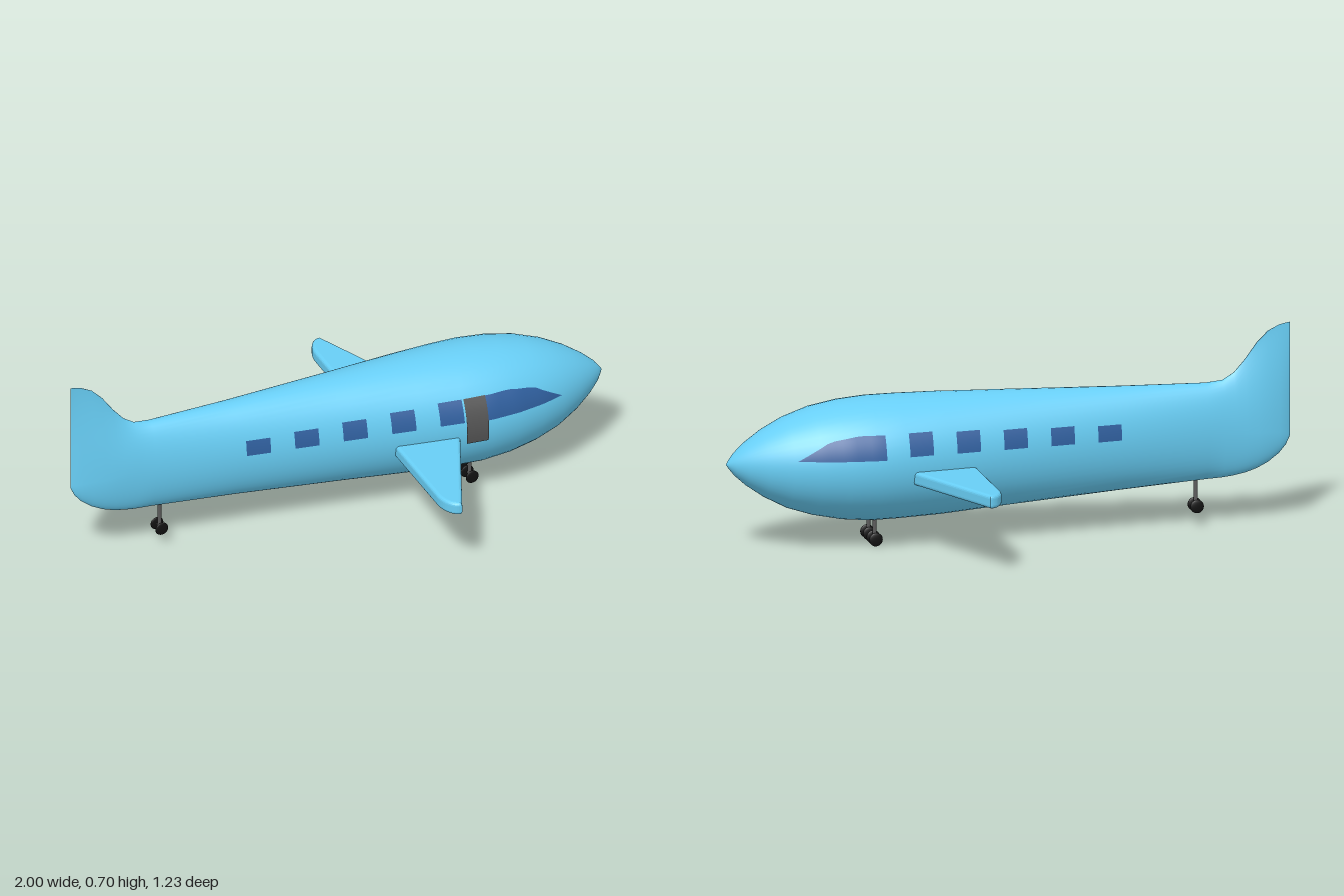
import * as THREE from 'three';

const mat = (color) => new THREE.MeshStandardMaterial({ color });

// Fuselage stations: x, bottom, top, half width, height of widest line, sharpness of the upper half
const STATIONS = [
  [-1.0, 0.30, 0.70, 0.000, 0.31, 3],
  [-0.985, 0.268, 0.698, 0.010, 0.31, 3],
  [-0.96, 0.238, 0.692, 0.020, 0.315, 3],
  [-0.92, 0.208, 0.672, 0.030, 0.32, 3],
  [-0.88, 0.188, 0.632, 0.037, 0.32, 2.8],
  [-0.84, 0.175, 0.577, 0.041, 0.325, 2.4],
  [-0.80, 0.167, 0.532, 0.045, 0.33, 1.7],
  [-0.76, 0.162, 0.507, 0.049, 0.33, 1.2],
  [-0.70, 0.159, 0.500, 0.056, 0.33, 1],
  [-0.40, 0.139, 0.504, 0.096, 0.322, 1],
  [0.00, 0.109, 0.513, 0.153, 0.311, 1],
  [0.25, 0.090, 0.518, 0.190, 0.304, 1],
  [0.40, 0.084, 0.518, 0.210, 0.301, 1],
  [0.50, 0.082, 0.516, 0.217, 0.30, 1],
  [0.60, 0.091, 0.507, 0.210, 0.30, 1],
  [0.70, 0.111, 0.488, 0.190, 0.30, 1],
  [0.79, 0.140, 0.457, 0.159, 0.30, 1],
  [0.87, 0.182, 0.416, 0.117, 0.30, 1],
  [0.93, 0.224, 0.375, 0.075, 0.30, 1],
  [0.97, 0.260, 0.340, 0.040, 0.30, 1],
  [0.99, 0.285, 0.315, 0.015, 0.30, 1],
  [1.0, 0.30, 0.30, 0.000, 0.30, 1],
];

function stationAt(x) {
  let i = 0;
  while (i < STATIONS.length - 2 && STATIONS[i + 1][0] < x) i++;
  const a = STATIONS[i], b = STATIONS[i + 1];
  const t = (x - a[0]) / (b[0] - a[0]);
  return a.map((v, k) => v + (b[k] - v) * t);
}

// Half width of the hull at a given x and y
function hullZ(x, y) {
  const [, bottom, top, w, mid, p] = stationAt(x);
  const v = y > mid ? (y - mid) / (top - mid) : (mid - y) / (mid - bottom);
  return w * Math.pow(Math.max(0, 1 - v * v), y > mid ? p / 2 : 0.5);
}

// Grid surface with cols x rows cells; wrap joins the last row to the first
function gridGeometry(cols, rows, point, wrap = false, flip = false) {
  const pos = [], idx = [];
  const n = wrap ? rows : rows + 1;
  for (let i = 0; i <= cols; i++) for (let j = 0; j < n; j++) pos.push(...point(i, j));
  for (let i = 0; i < cols; i++) {
    for (let j = 0; j < rows; j++) {
      const a = i * n + j, b = a + n;
      const d = i * n + (j + 1) % n, c = d + n;
      if (flip) idx.push(a, c, b, a, d, c);
      else idx.push(a, b, c, a, c, d);
    }
  }
  const g = new THREE.BufferGeometry();
  g.setAttribute('position', new THREE.Float32BufferAttribute(pos, 3));
  g.setIndex(idx);
  g.computeVertexNormals();
  return g;
}

function add(parent, name, geometry, material, x = 0, y = 0, z = 0) {
  const mesh = new THREE.Mesh(geometry, material);
  mesh.name = name;
  mesh.position.set(x, y, z);
  parent.add(mesh);
  return mesh;
}

export function createModel() {
  const model = new THREE.Group();
  model.name = 'airplane';
  const blue = mat(0x68cef5), glass = mat(0x2f5f9e), doorGrey = mat(0x555555);
  const strutGrey = mat(0x5a5a5a), tyre = mat(0x111111);

  // Hull with the tail fin drawn up out of its rear sections
  const SEG = 48;
  add(model, 'fuselage', gridGeometry(STATIONS.length - 1, SEG, (i, j) => {
    const [x, bottom, top, w, mid, p] = STATIONS[i];
    const a = (j / SEG) * Math.PI * 2, c = Math.cos(a), s = Math.sin(a);
    const e = s > 0 ? p : 1;
    return [x, mid + s * (s > 0 ? top - mid : mid - bottom), w * Math.sign(c) * Math.pow(Math.abs(c), e)];
  }, true), blue);

  // Panels that follow the hull surface
  const panel = (name, x0, x1, low, high, side, material, lift = 0.003) => {
    const cols = 12, rows = 8;
    add(model, name, gridGeometry(cols, rows, (i, j) => {
      const x = x0 + (x1 - x0) * i / cols;
      const y = low + (high(x) - low) * j / rows;
      return [x, y, side * (hullZ(x, y) + lift)];
    }, false, side < 0), material);
  };
  const cockpitTop = (x) => {
    if (x < 0.57) return 0.418;
    if (x < 0.67) return 0.418 - (x - 0.57) * 0.18;
    return 0.40 - (x - 0.67) * (0.065 / 0.11);
  };
  for (const side of [1, -1]) {
    for (let k = 0; k < 5; k++) {
      const x = -0.38 + k * 0.172;
      panel('cabinWindow', x, x + 0.086, 0.335 + k * 0.0015, () => 0.391 + k * 0.007, side, glass);
    }
    panel('cockpitWindow', 0.478, 0.78, 0.335, cockpitTop, side, glass);
  }
  panel('door', 0.40, 0.48, 0.257, () => 0.42, 1, doorGrey, 0.005);

  // Wings: straight trailing edge, swept leading edge, rounded tip
  const bevel = 0.012;
  for (const s of [1, -1]) {
    const shape = new THREE.Shape();
    shape.moveTo(0.15, s * 0.05);
    shape.lineTo(0.422, s * 0.1);
    shape.lineTo(0.207, s * 0.613);
    shape.bezierCurveTo(0.185, s * 0.618, 0.15, s * 0.585, 0.15, s * 0.52);
    shape.closePath();
    const g = new THREE.ExtrudeGeometry(shape, {
      depth: 0.023, bevelThickness: bevel, bevelSize: bevel, bevelOffset: -bevel,
      bevelSegments: 4, curveSegments: 12,
    });
    g.rotateX(Math.PI / 2);
    add(model, s > 0 ? 'leftWing' : 'rightWing', g, blue, 0, 0.2735, 0);
  }

  // Landing gear: strut, axle and a pair of thin wheels
  const gear = (name, x, y, z, top) => {
    const group = new THREE.Group();
    group.name = name;
    group.position.set(x, y, z);
    model.add(group);
    add(group, 'strut', new THREE.CylinderGeometry(0.007, 0.007, top - y, 16), strutGrey, 0, (top - y) / 2, 0);
    add(group, 'axle', new THREE.CylinderGeometry(0.004, 0.004, 0.044, 12).rotateX(Math.PI / 2), strutGrey);
    for (const s of [1, -1]) {
      const wheel = add(group, 'wheel', new THREE.SphereGeometry(0.024, 20, 12), tyre, 0, 0, s * 0.021);
      wheel.scale.z = 0.22;
    }
  };
  gear('leftMainGear', 0.485, 0.024, 0.042, 0.13);
  gear('rightMainGear', 0.485, 0.024, -0.053, 0.13);
  gear('tailGear', -0.665, 0.068, 0, 0.19);

  return model;
}
